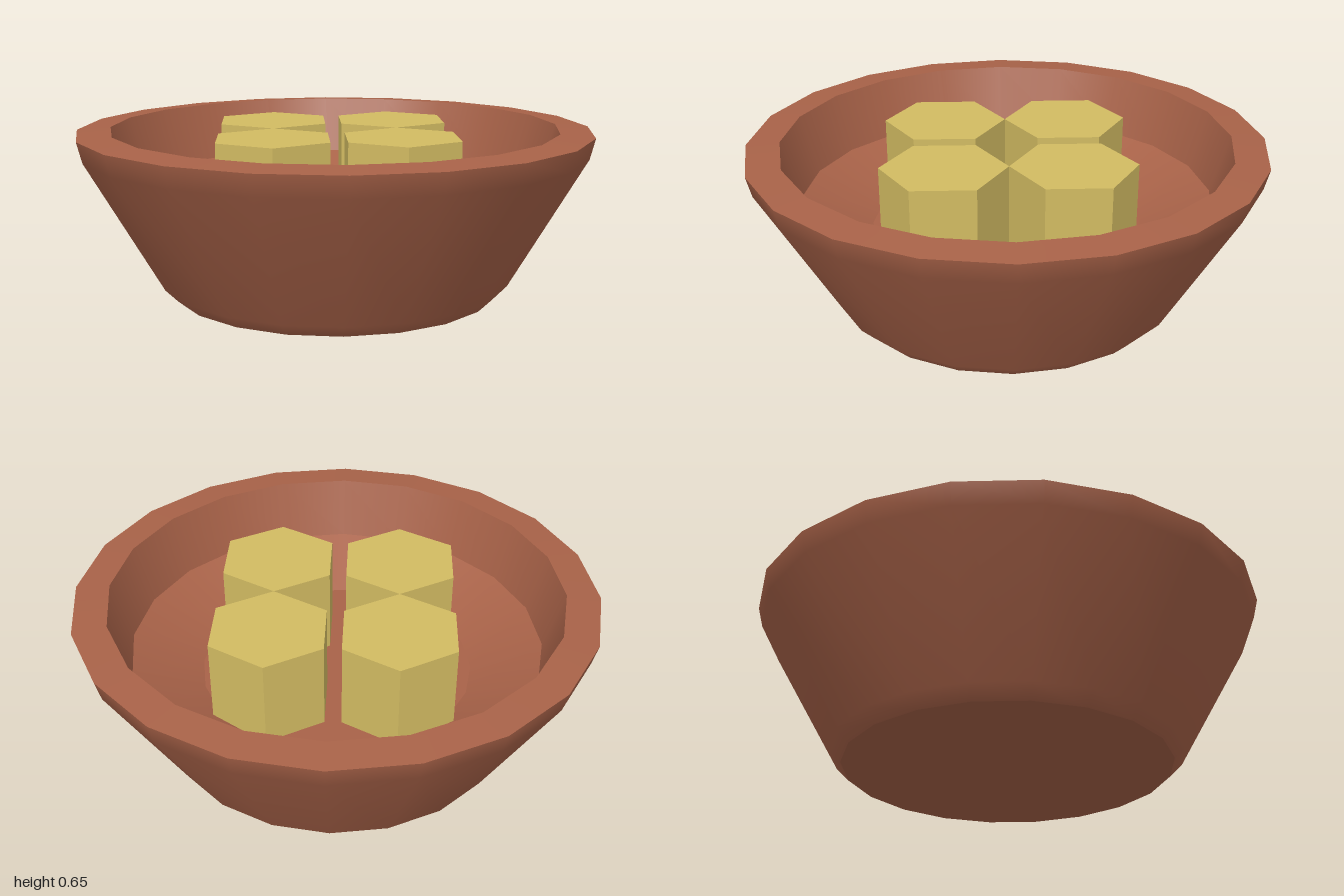
import * as THREE from 'three';

export function createModel() {
  const group = new THREE.Group();
  group.name = 'bowlWithBlocks';

  const clay = new THREE.MeshStandardMaterial({ color: 0xa86248 });
  clay.name = 'brown clay';
  const straw = new THREE.MeshStandardMaterial({ color: 0xd2bb62 });
  straw.name = 'straw yellow';
  straw.flatShading = true;

  // Each band is smooth in itself; the edges between bands stay sharp
  const bands = {
    base: [[0, 0], [0.64, 0]],
    outerWall: [[0.64, 0], [0.69, 0.05], [0.98, 0.56], [1, 0.64]],
    rim: [[1, 0.64], [0.87, 0.65]],
    innerWall: [[0.87, 0.65], [0.8, 0.42]],
    dish: [[0.8, 0.42], [0.53, 0.3]],
    floor: [[0.53, 0.3], [0, 0.3]],
  };
  const bowl = new THREE.Group();
  bowl.name = 'bowl';
  for (const [name, profile] of Object.entries(bands)) {
    const points = profile.map(([r, y]) => new THREE.Vector2(r, y));
    const mesh = new THREE.Mesh(new THREE.LatheGeometry(points, 20), clay);
    mesh.name = name;
    bowl.add(mesh);
  }
  group.add(bowl);

  // Four hexagonal blocks standing on the floor of the bowl
  const top = 0.64, bottom = 0.29;
  const hexagon = new THREE.CylinderGeometry(0.24, 0.24, top - bottom, 6);
  for (const x of [-0.24, 0.24]) {
    for (const z of [-0.24, 0.24]) {
      const block = new THREE.Mesh(hexagon, straw);
      block.name = (z > 0 ? 'front' : 'back') + (x > 0 ? 'Left' : 'Right') + 'Block';
      block.position.set(x, (top + bottom) / 2, z);
      group.add(block);
    }
  }
  return group;
}
